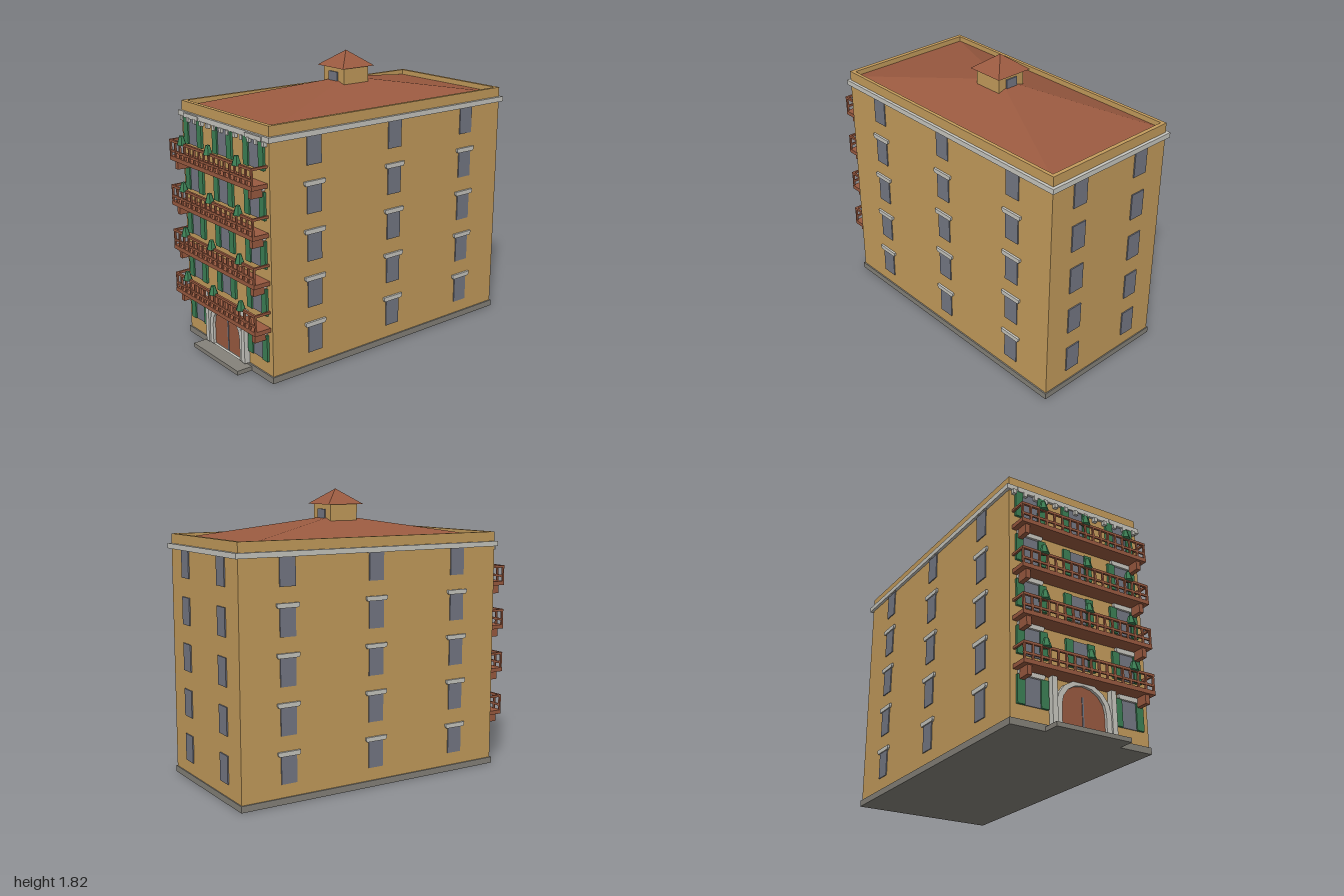
import * as THREE from 'three';

const mat = (name, hex) => {
  const m = new THREE.MeshStandardMaterial({ color: hex });
  m.name = name;
  return m;
};

export function createModel() {
  const ochre = mat('ochre wall', 0xc49c5c);
  const terracotta = mat('terracotta', 0x9a5a40);
  const stone = mat('pale stone', 0xc8c7c0);
  const glass = mat('grey glass', 0x757884);
  const green = mat('shutter green', 0x3c8055);
  const plinthGrey = mat('plinth grey', 0x85827a);

  const model = new THREE.Group();
  model.name = 'apartmentBuilding';

  const group = (name, parent = model) => {
    const g = new THREE.Group();
    g.name = name;
    parent.add(g);
    return g;
  };
  const add = (name, geo, material, parent = model) => {
    const m = new THREE.Mesh(geo, material);
    m.name = name;
    parent.add(m);
    return m;
  };
  // box given by its low and high limits on each axis
  const box = (name, material, x0, x1, y0, y1, z0, z1, parent) => {
    const m = add(name, new THREE.BoxGeometry(x1 - x0, y1 - y0, z1 - z0), material, parent);
    m.position.set((x0 + x1) / 2, (y0 + y1) / 2, (z0 + z1) / 2);
    return m;
  };
  const faceted = (geo) => {
    const g = geo.toNonIndexed();
    g.computeVertexNormals();
    return g;
  };
  const pyramid = (name, halfX, halfZ, y0, y1, z, material) => {
    const geo = new THREE.CylinderGeometry(0, Math.SQRT2, 1, 4, 1);
    geo.rotateY(Math.PI / 4).scale(halfX, y1 - y0, halfZ);
    add(name, faceted(geo), material).position.set(0, (y0 + y1) / 2, z);
  };
  const extrude = (shape, depth) =>
    new THREE.ExtrudeGeometry(shape, { depth, bevelEnabled: false, curveSegments: 8 });

  const W = 0.466, FRONT = 0.863, BACK = -0.98, MID = -0.06, PITCH = 0.29;

  // Main block, plinth, cornice and parapet
  box('walls', ochre, -W, W, 0.03, 1.5, BACK, FRONT);
  box('plinth', plinthGrey, -0.475, 0.475, 0, 0.04, -0.987, 0.872);
  box('entranceStep', plinthGrey, -0.25, 0.25, 0, 0.027, 0.86, 0.975);
  box('cornice', stone, -0.485, 0.485, 1.452, 1.484, -1, 0.878);
  const parapet = group('parapet');
  for (const s of [-1, 1]) {
    box('parapetSide', ochre, s > 0 ? 0.444 : -W, s > 0 ? W : -0.444, 1.47, 1.545, BACK, FRONT, parapet);
  }
  box('parapetFront', ochre, -0.444, 0.444, 1.47, 1.545, 0.835, FRONT, parapet);
  box('parapetBack', ochre, -0.444, 0.444, 1.47, 1.545, BACK, -0.955, parapet);
  const dentils = group('dentils');
  for (let i = -6; i <= 6; i++) {
    box('dentil', stone, i * 0.073 - 0.012, i * 0.073 + 0.012, 1.427, 1.455, 0.86, 0.886, dentils);
  }

  // Hipped roof and lantern
  pyramid('mainRoof', 0.444, 0.895, 1.512, 1.657, MID, terracotta);
  box('lantern', ochre, -0.1, 0.1, 1.56, 1.73, MID - 0.097, MID + 0.097);
  pyramid('lanternRoof', 0.127, 0.127, 1.726, 1.822, MID, terracotta);
  for (const s of [-1, 1]) {
    const w = add('lanternWindow', new THREE.BoxGeometry(0.082, 0.075, 0.009), glass);
    w.position.set(0, 1.659, MID + s * 0.101);
  }

  // Lintel with slanted ends, back face on z = 0
  const lintelGeo = (half, depth) => {
    const s = new THREE.Shape();
    s.moveTo(-half + 0.008, 0);
    s.lineTo(half - 0.008, 0);
    s.lineTo(half, 0.012);
    s.lineTo(half, 0.028);
    s.lineTo(-half, 0.028);
    s.lineTo(-half, 0.012);
    return extrude(s, depth);
  };
  const sideLintel = lintelGeo(0.075, 0.014);
  const frontLintel = lintelGeo(0.083, 0.02);

  // Side and back windows
  const sideWindows = group('sideWindows');
  const backWindows = group('backWindows');
  for (let f = 0; f < 5; f++) {
    const y = 0.122 + f * PITCH;
    for (const s of [-1, 1]) {
      for (const z of [0.555, MID, -0.67]) {
        const w = add('sideWindow', new THREE.BoxGeometry(0.009, 0.172, 0.104), glass, sideWindows);
        w.position.set(s * (W + 0.002), y + 0.086, z);
        const l = add('sideLintel', sideLintel, stone, sideWindows);
        l.rotation.y = s * Math.PI / 2;
        l.position.set(s * W, y + 0.168, z);
      }
      const b = add('backWindow', new THREE.BoxGeometry(0.104, 0.172, 0.009), glass, backWindows);
      b.position.set(s * 0.25, y + 0.086, BACK - 0.003);
    }
  }

  // Front windows with open shutters; the door takes the middle of the ground floor
  const frontWindows = group('frontWindows');
  for (let f = 0; f < 5; f++) {
    const y = 0.125 + f * PITCH;
    for (const c of [-1, 0, 1]) {
      if (f === 0 && c === 0) continue;
      const x = c * 0.327;
      box('frontWindow', glass, x - 0.052, x + 0.052, y, y + 0.167, 0.861, 0.869, frontWindows);
      for (const s of [-1, 1]) {
        const sh = add('shutter', new THREE.BoxGeometry(0.05, 0.167, 0.018), green, frontWindows);
        sh.position.set(x + s * 0.076, y + 0.0835, 0.869);
      }
      if (c !== 0) {
        const l = add('frontLintel', frontLintel, stone, frontWindows);
        l.position.set(c * 0.335, y + 0.164, FRONT);
      }
    }
  }

  // Arched entrance
  const arch = (PathType, r, top) => {
    const p = new PathType();
    const spring = 0.17;
    p.moveTo(-r, 0.035);
    p.lineTo(r, 0.035);
    for (let i = 0; i <= 8; i++) {
      const a = (i / 8) * Math.PI;
      p.lineTo(r * Math.cos(a), spring + (top - spring) * Math.sin(a));
    }
    return p;
  };
  const entrance = group('entrance');
  const surround = arch(THREE.Shape, 0.184, 0.335);
  surround.holes.push(arch(THREE.Path, 0.15, 0.308));
  add('archSurround', extrude(surround, 0.03), stone, entrance).position.z = 0.86;
  add('door', extrude(arch(THREE.Shape, 0.152, 0.31), 0.012), terracotta, entrance).position.z = 0.86;
  box('doorGap', glass, -0.005, 0.005, 0.04, 0.245, 0.87, 0.876, entrance);
  for (const s of [-1, 1]) {
    const p = add('doorPilaster', new THREE.BoxGeometry(0.034, 0.34, 0.037), stone, entrance);
    p.position.set(s * 0.201, 0.21, 0.8815);
  }

  // Balconies with railings, brackets and plants
  const plantGeo = faceted(new THREE.CylinderGeometry(0.014, 0.031, 0.055, 6));
  for (let f = 0; f < 4; f++) {
    const b = group('balcony');
    b.position.y = f * PITCH;
    box('balconySlab', terracotta, -0.447, 0.447, 0.32, 0.346, 0.86, 0.972, b);
    box('topRail', terracotta, -0.447, 0.447, 0.435, 0.45, 0.958, 0.972, b);
    box('lowerRail', terracotta, -0.447, 0.447, 0.372, 0.386, 0.96, 0.97, b);
    for (let i = -8; i <= 8; i++) {
      const x = i * 0.055;
      box('baluster', terracotta, x - 0.006, x + 0.006, 0.34, 0.44, 0.959, 0.971, b);
    }
    for (const s of [-1, 1]) {
      const r = add('sideRail', new THREE.BoxGeometry(0.013, 0.015, 0.1), terracotta, b);
      r.position.set(s * 0.4405, 0.4425, 0.91);
      const k = add('bracket', new THREE.BoxGeometry(0.03, 0.06, 0.092), terracotta, b);
      k.position.set(s * 0.4, 0.294, 0.908);
    }
    for (const x of [-0.3, 0, 0.3]) {
      add('plant', plantGeo, green, b).position.set(x, 0.468, 0.969);
    }
  }
  return model;
}
